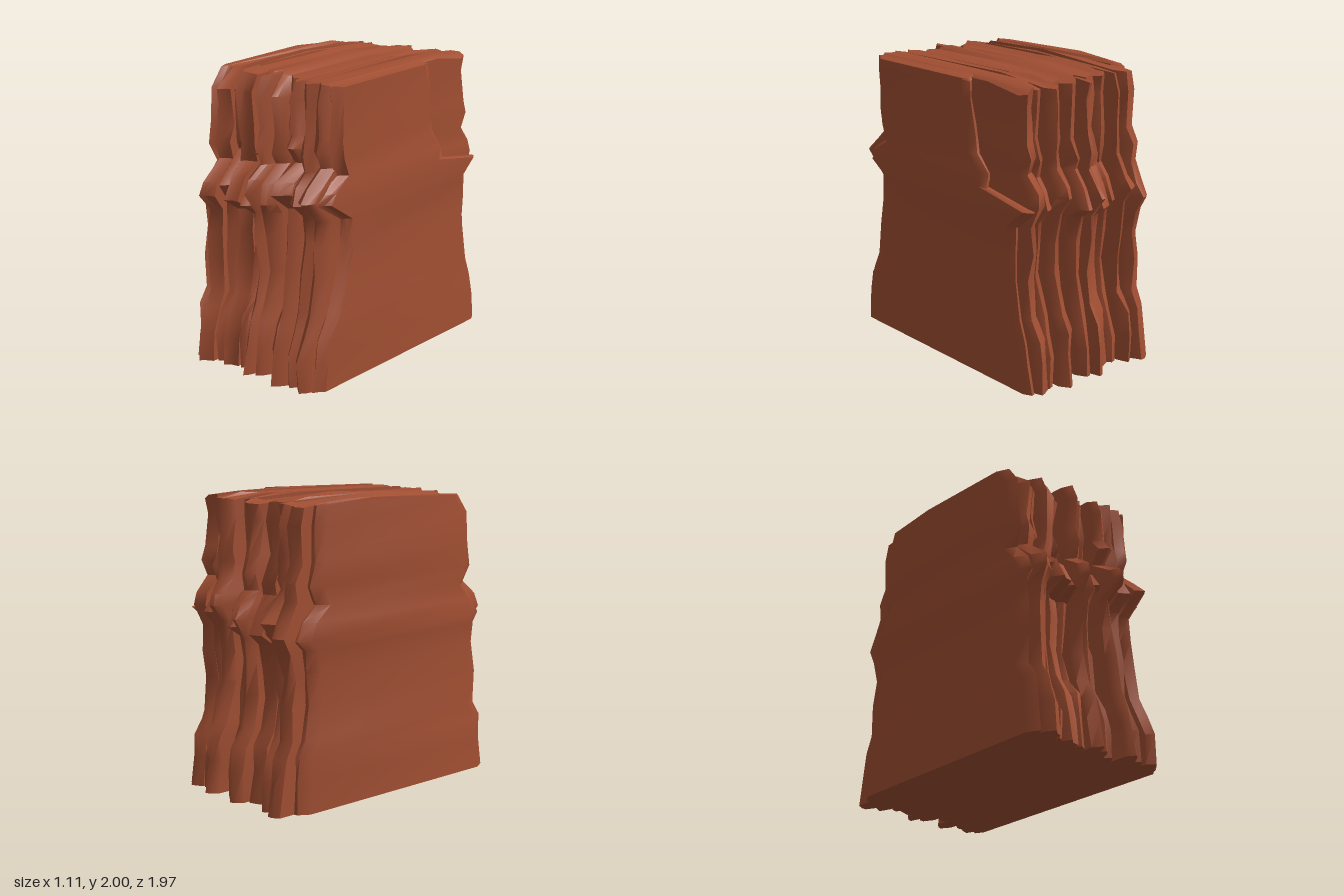
import * as THREE from 'three';
import { toCreasedNormals } from 'three/addons/utils/BufferGeometryUtils.js';

// Outer silhouettes as [height, depth]: a wide foot, a jutting ledge and a recessed crown
const FRONT = [[0, 0.99], [0.2, 0.985], [0.36, 0.95], [0.5, 0.91], [0.72, 0.9], [0.92, 0.91], [1.09, 0.92],
  [1.2, 0.95], [1.3, 0.9], [1.4, 0.83], [1.5, 0.85], [1.62, 0.83], [1.84, 0.83], [1.96, 0.8]];
const BACK = [0.98, 0.97, 0.95, 0.9, 0.88, 0.89, 0.91, 0.96, 0.9, 0.85, 0.87, 0.83, 0.83, 0.84];
// How strongly each level is undercut beneath the ledge
const UNDERCUT = [0, 0, 0.1, 0.3, 0.7, 0.9, 1, 0, 0, 0.5, 0.2, 0.2, 0.1, 0];

// Slabs from right to left: [x start, front reach, back reach, undercut, ledge height shift, crown setback]
const SLABS = [
  [-0.55, 0.91, 0.83, 0.03, -0.06, 0.06],
  [-0.47, 0.97, 0.98, 0.06, -0.05, 0.12],
  [-0.37, 0.89, 0.95, 0.04, 0.01, 0.1],
  [-0.29, 0.92, 0.88, 0.12, -0.04, 0.03],
  [-0.18, 0.88, 0.89, 0.08, -0.08, 0.08],
  [-0.07, 0.97, 0.98, 0.1, 0.0, 0.02],
  [0.0, 0.92, 0.93, 0.05, -0.03, 0.07],
  [0.09, 0.86, 0.83, 0.12, 0.03, 0.02],
  [0.2, 0.99, 0.98, 0.1, 0.05, 0.05],
  [0.29, 0.93, 0.9, 0.06, 0.02, 0.0],
  [0.4, 0.96, 0.94, 0.1, 0.04, 0.03],
  [0.48, 0.9, 0.9, 0.2, 0.0, 0.0],
];

function seeded(seed) {
  let s = seed;
  return () => {
    s = (s * 16807) % 2147483647;
    return s / 2147483647;
  };
}

// One upright slab: eight-sided rings lofted upwards, with a ridged top
function slabGeometry(index) {
  const [x0, reachF, reachB, under, shift, setback] = SLABS[index];
  const last = index === SLABS.length - 1;
  const x1 = last ? 0.55 : SLABS[index + 1][0];
  const rand = seeded(977 + index * 7919);
  for (let i = 0; i < 5; i++) rand();
  const jitter = (a) => (rand() * 2 - 1) * a;
  const positions = [], indices = [];
  const cutF = [0.03 + rand() * 0.06, 0, 0.015 + rand() * 0.03, 0.04 + rand() * 0.07];
  const cutB = [0.03 + rand() * 0.07, 0.02 * rand(), 0, 0.05 + rand() * 0.06];
  const tilt = jitter(0.02);
  const peak = 0.3 + rand() * 0.2;
  const levels = FRONT.length;

  for (let l = 0; l < levels; l++) {
    const yBase = FRONT[l][0];
    const inner = l > 0 && l < levels - 1;
    const y = yBase + (inner ? shift * Math.max(0, 1 - Math.abs(yBase - 1.2) / 0.6) + jitter(0.025) : 0);
    const crown = yBase > 1.35 ? setback * (l === levels - 1 ? 1.6 : 0.5) : 0;
    const taper = 1.008 - 0.022 * (yBase / 2);
    const zF = FRONT[l][1] - (0.99 - reachF) - under * UNDERCUT[l] - crown + (inner ? jitter(0.025) : 0);
    let zB = BACK[l] - (0.98 - reachB) - under * 0.4 * UNDERCUT[l] - crown * 0.4 + (inner ? jitter(0.025) : 0);
    // The leftmost slab has broken away at the upper back
    if (last && yBase > 1.25) zB = yBase > 1.45 ? 0.37 - (yBase - 1.45) * 0.16 : 0.47;
    const wander = inner ? jitter(0.014) : 0;
    const lo = index === 0 ? x0 * taper : x0 - 0.012;
    const hi = last ? x1 * taper : x1 + 0.014;
    const xs = [lo, lo + (hi - lo) * peak + wander, lo + (hi - lo) * (peak + 0.28) + wander, hi];
    for (let j = 0; j < 4; j++) {
      const top = l === levels - 1 ? tilt * (j - 1.5) * 0.6 + jitter(0.008) : 0;
      positions.push(xs[j], y + top, zF - cutF[j] - (inner ? rand() * 0.015 : 0));
    }
    for (let j = 3; j >= 0; j--) {
      const top = l === levels - 1 ? tilt * (j - 1.5) * 0.6 + jitter(0.008) : 0;
      positions.push(xs[j], y + top, -zB + cutB[j] + (inner ? rand() * 0.015 : 0));
    }
  }

  const quad = (a, b, c, d) => indices.push(a, b, c, a, c, d);
  for (let l = 0; l < levels - 1; l++) {
    for (let i = 0; i < 8; i++) {
      const a = l * 8 + i, b = l * 8 + (i + 1) % 8;
      quad(a, b, b + 8, a + 8);
    }
  }
  // Crest row across the top, then the top and bottom faces
  const t = (levels - 1) * 8, m = levels * 8;
  for (let j = 0; j < 4; j++) {
    const f = (t + j) * 3;
    positions.push(positions[f], Math.min(2, positions[f + 1] + 0.012 + rand() * 0.02), last ? -0.26 : -0.3 + jitter(0.3));
  }
  for (let j = 0; j < 3; j++) {
    quad(t + j, t + j + 1, m + j + 1, m + j);
    quad(m + j, m + j + 1, t + 6 - j, t + 7 - j);
    quad(j + 1, j, 7 - j, 6 - j);
  }
  // Close the slivers beside the crest row
  indices.push(t + 3, t + 4, m + 3, t + 7, t, m);

  const geometry = new THREE.BufferGeometry();
  geometry.setAttribute('position', new THREE.Float32BufferAttribute(positions, 3));
  geometry.setIndex(indices);
  return toCreasedNormals(geometry, 0.75);
}

export function createModel() {
  const model = new THREE.Group();
  model.name = 'layeredRock';
  const rock = new THREE.MeshStandardMaterial({ color: 0xa04e32 });
  rock.name = 'redRock';

  SLABS.forEach((_, i) => {
    const slab = new THREE.Mesh(slabGeometry(i), rock);
    slab.name = `rockSlab${i + 1}`;
    model.add(slab);
  });
  return model;
}
